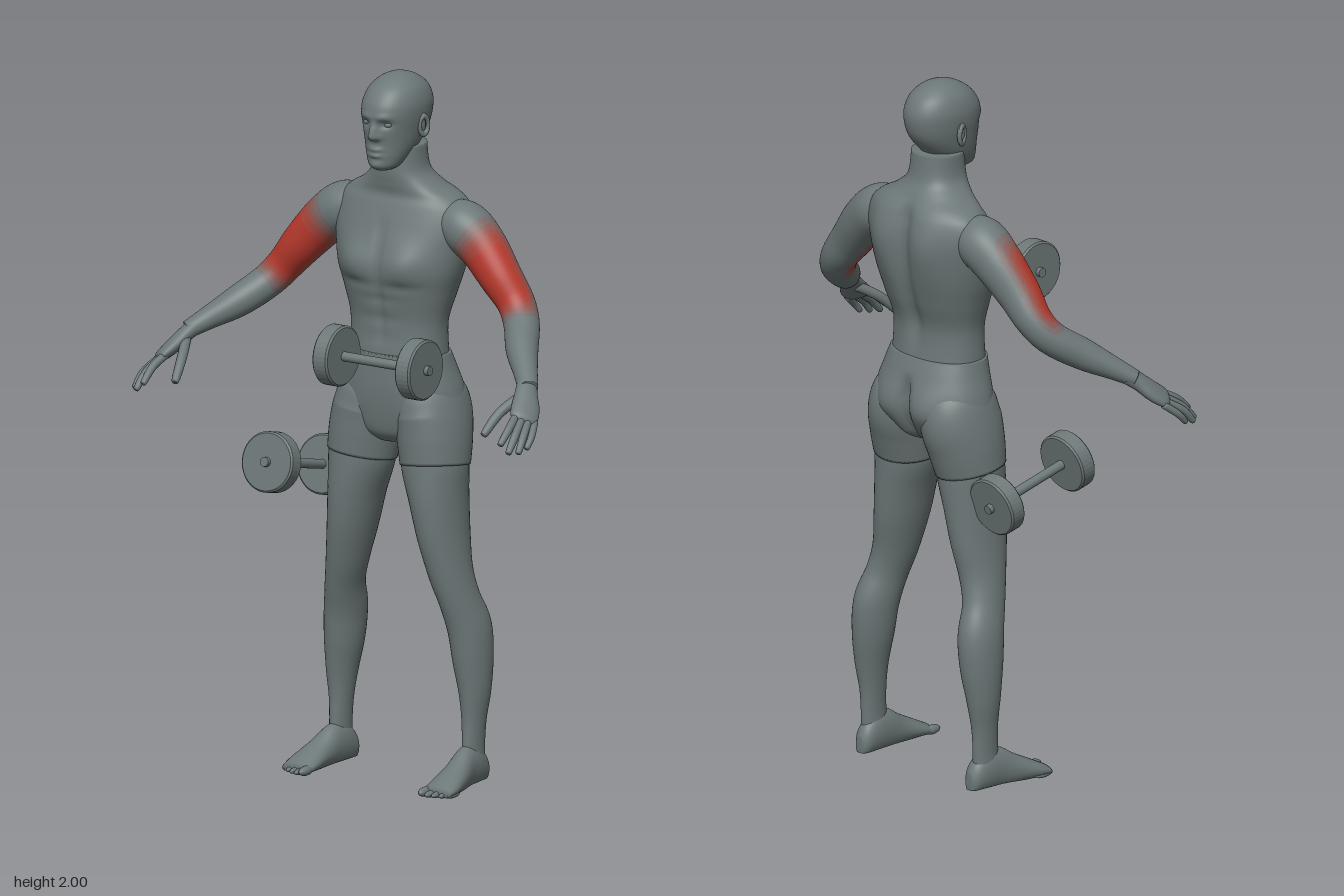
import * as THREE from 'three';

const mat = (name, color) => {
  const m = new THREE.MeshStandardMaterial({ color });
  m.name = name;
  return m;
};
const bell = (v, c, w) => Math.exp(-(((v - c) / w) ** 2));
const step = THREE.MathUtils.smoothstep;
const V3 = (x, y, z) => new THREE.Vector3(x, y, z);

// Smoothly interpolated row of a cross-section table
function rowAt(rows, t) {
  const f = Math.min(Math.max(t, 0), 1) * (rows.length - 1);
  const i = Math.min(Math.floor(f), rows.length - 2), k = f - i;
  const at = (j) => rows[Math.min(Math.max(j, 0), rows.length - 1)];
  return rows[0].map((_, c) => {
    const p0 = at(i - 1)[c], p1 = at(i)[c], p2 = at(i + 1)[c], p3 = at(i + 2)[c];
    const a = (p2 - p0) / 2, b = (p3 - p1) / 2;
    return (2 * p1 - 2 * p2 + a + b) * k ** 3 + (-3 * p1 + 3 * p2 - 2 * a - b) * k * k + a * k + p1;
  });
}

// Closed skin over rings point(t, angle); pick(t, angle) gives a material index
function skin(n, seg, point, pick = () => 0) {
  const pos = [], bins = [];
  const put = (t, a, ...tri) => {
    const b = pick(t, a);
    (bins[b] = bins[b] || []).push(...tri);
  };
  for (let i = 0; i <= n; i++)
    for (let j = 0; j < seg; j++) pos.push(...point(i / n, (j / seg) * Math.PI * 2).toArray());
  for (const i of [0, n]) {
    const c = V3(0, 0, 0);
    for (let j = 0; j < seg; j++) c.add(V3().fromArray(pos, (i * seg + j) * 3));
    pos.push(...c.divideScalar(seg).toArray());
  }
  const low = (n + 1) * seg;
  for (let j = 0; j < seg; j++) {
    const k = (j + 1) % seg, ang = ((j + 0.5) / seg) * Math.PI * 2;
    for (let i = 0; i < n; i++) {
      const a = i * seg + j, b = a + seg, c = i * seg + k, d = c + seg;
      put((i + 0.5) / n, ang, a, b, c, b, d, c);
    }
    put(0, ang, low, j, k);
    put(1, ang, low + 1, n * seg + k, n * seg + j);
  }
  const g = new THREE.BufferGeometry();
  g.setAttribute('position', new THREE.Float32BufferAttribute(pos, 3));
  const index = [];
  bins.forEach((b, m) => {
    g.addGroup(index.length, b.length, m);
    for (const v of b) index.push(v);
  });
  g.setIndex(index);
  g.computeVertexNormals();
  return g;
}

// Horizontal rings from rows [y, half width, front z, back z], with a relief rule
const stack = (rows, n, seg, power, relief = () => 0) => skin(n, seg, (t, a) => {
  const [y, w, zf, zb] = rowAt(rows, t);
  const c = Math.cos(a), s = Math.sin(a), e = 2 / power;
  const x = w * Math.sign(c) * Math.abs(c) ** e;
  const z = (zf + zb) / 2 + ((zf - zb) / 2) * Math.sign(s) * Math.abs(s) ** e;
  return V3(x, y, z + relief(x, y, s));
});

// Rings square to a path, rows [x, y, z, radius along ref, other radius]
function ringAt(rows, t, a, ref) {
  const r = rowAt(rows, t), p = rowAt(rows, t - 0.02), q = rowAt(rows, t + 0.02);
  const T = V3(q[0] - p[0], q[1] - p[1], q[2] - p[2]).normalize();
  const U = ref.clone().addScaledVector(T, -ref.dot(T)).normalize();
  const W = U.clone().cross(T);
  const out = U.multiplyScalar(Math.cos(a) * r[3]).addScaledVector(W, Math.sin(a) * r[4]);
  return { centre: V3(r[0], r[1], r[2]), out };
}
const limb = (rows, n, seg, ref, pick) => skin(n, seg, (t, a) => {
  const { centre, out } = ringAt(rows, t, a, ref);
  return centre.add(out);
}, pick);

function mirrored(geo) {
  const g = geo.clone().scale(-1, 1, 1), ix = g.index.array;
  for (let i = 0; i < ix.length; i += 3) [ix[i], ix[i + 1]] = [ix[i + 1], ix[i]];
  g.computeVertexNormals();
  return g;
}

export function createModel() {
  const model = new THREE.Group();
  const grey = mat('bodyGrey', 0x6c7777);
  const tones = [grey, mat('faintRed', 0x7a6a68), mat('paleRed', 0x8a5c57),
    mat('midRed', 0x994f47), mat('warmRed', 0xa84339), mat('muscleRed', 0xb5382c)];
  const add = (name, geo, m = grey) => {
    const mesh = new THREE.Mesh(geo, m);
    mesh.name = name;
    model.add(mesh);
    return mesh;
  };
  const pair = (name, geo, m) => {
    add('left' + name, geo, m);
    add('right' + name, mirrored(geo), m);
  };
  const X = V3(1, 0, 0);

  // Torso and neck with chest, stomach, shoulder blades and spine groove
  add('torso', stack([
    [1.205, 0.148, -0.095, -0.293], [1.3, 0.147, -0.1, -0.288], [1.38, 0.168, -0.088, -0.312],
    [1.45, 0.19, -0.078, -0.33], [1.52, 0.205, -0.09, -0.338], [1.58, 0.212, -0.108, -0.338],
    [1.63, 0.2, -0.125, -0.33], [1.66, 0.17, -0.135, -0.318], [1.69, 0.118, -0.13, -0.297],
    [1.73, 0.08, -0.125, -0.277], [1.8, 0.072, -0.13, -0.268],
  ], 70, 96, 2.2, (x, y, s) => {
    const ax = Math.abs(x);
    if (s > 0) {
      const chest = 0.02 * bell(ax, 0.085, 0.06) * bell(y, 1.475, 0.055);
      const mid = -0.008 * bell(x, 0, 0.012) * step(y, 1.22, 1.3) * (1 - step(y, 1.55, 1.62));
      const crease = -0.006 * bell(ax, 0.08, 0.06) * bell(y, 1.412, 0.012);
      const abs = [1.26, 1.315, 1.37].reduce((d, r) => d - 0.004 * bell(y, r, 0.009), 0) * bell(x, 0, 0.06);
      return s * (chest + mid + crease + abs);
    }
    const blade = 0.02 * bell(ax, 0.09, 0.055) * bell(y, 1.56, 0.1);
    const spine = 0.018 * bell(x, 0, 0.028) * step(y, 1.2, 1.35) * (1 - step(y, 1.62, 1.7));
    return s * (blade - spine);
  }));

  // Shorts: hips with a cleft at the back, and two short legs
  add('shortsHips', stack([
    [0.96, 0.05, -0.13, -0.25], [0.99, 0.13, -0.105, -0.295], [1.05, 0.19, -0.092, -0.325],
    [1.11, 0.185, -0.087, -0.33], [1.17, 0.166, -0.088, -0.315], [1.215, 0.153, -0.09, -0.298],
  ], 36, 80, 2.2, (x, y, s) => s < 0
    ? s * (0.018 * bell(Math.abs(x), 0.08, 0.055) * bell(y, 1.07, 0.06)
      - 0.035 * bell(x, 0, 0.016) * (1 - step(y, 1.1, 1.18)))
    : 0));
  pair('ShortsLeg', limb([
    [0.122, 0.9, -0.19, 0.096, 0.103], [0.114, 0.97, -0.2, 0.1, 0.115],
    [0.103, 1.04, -0.21, 0.098, 0.124], [0.09, 1.1, -0.205, 0.09, 0.11], [0.08, 1.15, -0.2, 0.06, 0.08],
  ], 24, 48, X));

  // Legs from ankle to thigh
  pair('Leg', limb([
    [0.222, 0.03, -0.23, 0.03, 0.042], [0.222, 0.1, -0.23, 0.026, 0.042], [0.222, 0.18, -0.233, 0.031, 0.042],
    [0.222, 0.26, -0.237, 0.042, 0.052], [0.215, 0.35, -0.238, 0.053, 0.065], [0.207, 0.44, -0.233, 0.056, 0.071],
    [0.192, 0.52, -0.208, 0.052, 0.066], [0.172, 0.6, -0.193, 0.056, 0.073], [0.152, 0.7, -0.189, 0.064, 0.09],
    [0.137, 0.8, -0.188, 0.075, 0.098], [0.123, 0.89, -0.19, 0.091, 0.099], [0.118, 0.95, -0.19, 0.09, 0.095],
  ], 60, 40, X));

  // Feet, flat underneath, with five toes each
  const footRows = [
    [-0.288, 0.218, 0.014, 0.05], [-0.272, 0.218, 0.028, 0.08], [-0.235, 0.22, 0.034, 0.11],
    [-0.185, 0.223, 0.036, 0.11], [-0.13, 0.23, 0.042, 0.078], [-0.07, 0.235, 0.049, 0.048],
    [-0.03, 0.235, 0.046, 0.028],
  ];
  pair('Foot', skin(28, 32, (t, a) => {
    const [z, cx, w, h] = rowAt(footRows, t), s = Math.sin(a);
    return V3(cx + w * Math.cos(a), Math.max(0.004, h * (0.45 - 0.55 * s)), z);
  }));
  for (let i = 0; i < 5; i++) {
    const r = i ? 0.0105 - i * 0.0005 : 0.014;
    const toe = new THREE.SphereGeometry(1, 14, 10).scale(r, r * 0.95, 0.03);
    pair('Toe' + (i + 1), toe.translate(0.2 + i * 0.0185, r, -0.029 - i * i * 0.0018));
  }

  // Arms, reddened over the front of the upper arm
  const armRows = [
    [0.13, 1.59, -0.215, 0.055, 0.055], [0.195, 1.58, -0.22, 0.073, 0.074], [0.26, 1.535, -0.217, 0.069, 0.068],
    [0.33, 1.46, -0.205, 0.06, 0.06], [0.385, 1.395, -0.2, 0.051, 0.053], [0.425, 1.345, -0.17, 0.047, 0.05],
    [0.475, 1.295, -0.1, 0.044, 0.045], [0.53, 1.253, -0.037, 0.032, 0.034], [0.57, 1.222, 0.008, 0.024, 0.028],
  ];
  const armRef = V3(0, 1, 0.2);
  pair('Arm', limb(armRows, 96, 60, armRef, (t, a) => {
    const { centre, out } = ringAt(armRows, t, a, armRef);
    const n = out.normalize(), x = centre.x;
    const along = step(x, 0.21, 0.3) * (1 - step(x, 0.38, 0.44));
    return Math.round(5 * along * step(n.z + 0.25 * n.y, -0.75, 0.5));
  }), tones);

  // Hands: palm, four fingers and a thumb
  pair('Palm', limb([
    [0.555, 1.233, -0.01, 0.028, 0.024], [0.572, 1.21, 0.02, 0.032, 0.022], [0.592, 1.18, 0.052, 0.04, 0.021],
    [0.607, 1.158, 0.082, 0.039, 0.016], [0.612, 1.15, 0.093, 0.026, 0.008],
  ], 20, 28, V3(0.045, -0.025, -0.025)));
  const digit = (name, a, b, c, r) => {
    const p = [[...a, r, r], [...b, r, r], [...c, r * 0.8, r * 0.8]];
    const tip = c.map((v, i) => v + (v - b[i]) * 0.12);
    pair(name, limb([...p, [...tip, r * 0.25, r * 0.25]], 14, 14, X));
  };
  digit('IndexFinger', [0.585, 1.17, 0.08], [0.597, 1.142, 0.135], [0.598, 1.105, 0.18], 0.0115);
  digit('MiddleFinger', [0.602, 1.16, 0.082], [0.618, 1.122, 0.14], [0.623, 1.084, 0.178], 0.0115);
  digit('RingFinger', [0.616, 1.152, 0.074], [0.636, 1.117, 0.128], [0.642, 1.082, 0.158], 0.011);
  digit('LittleFinger', [0.628, 1.147, 0.06], [0.645, 1.115, 0.1], [0.647, 1.088, 0.125], 0.01);
  digit('Thumb', [0.562, 1.205, 0.025], [0.533, 1.165, 0.09], [0.518, 1.115, 0.142], 0.014);

  // Head with brow, eye sockets, nose, lips and chin
  add('head', stack([
    [1.738, 0.024, -0.09, -0.15], [1.75, 0.042, -0.077, -0.18], [1.775, 0.056, -0.074, -0.215],
    [1.81, 0.069, -0.074, -0.255], [1.85, 0.078, -0.069, -0.287], [1.89, 0.084, -0.064, -0.3],
    [1.925, 0.084, -0.07, -0.299], [1.96, 0.072, -0.094, -0.281], [1.985, 0.048, -0.13, -0.248],
    [1.997, 0.022, -0.165, -0.215], [2.0, 0.004, -0.186, -0.194],
  ], 90, 96, 2.15, (x, y, s) => {
    if (s <= 0) return 0;
    const ax = Math.abs(x);
    const nose = 0.024 * bell(x, 0, 0.011 + 0.005 * bell(y, 1.835, 0.012)) * step(y, 1.82, 1.836) * (1 - step(y, 1.838, 1.89));
    const socket = -0.012 * bell(ax, 0.033, 0.018) * bell(y, 1.873, 0.012);
    const brow = 0.005 * bell(ax, 0.03, 0.03) * bell(y, 1.893, 0.01);
    const lips = bell(x, 0, 0.022) * (0.008 * bell(y, 1.8, 0.007) + 0.008 * bell(y, 1.783, 0.007));
    const chin = 0.006 * bell(x, 0, 0.02) * bell(y, 1.755, 0.012);
    return s * (nose + socket + brow + lips + chin);
  }));
  pair('Eye', new THREE.SphereGeometry(0.011, 16, 12).scale(1.2, 0.7, 0.8).translate(0.033, 1.872, -0.088));
  const ear = new THREE.TorusGeometry(0.017, 0.006, 10, 24).scale(0.85, 1.5, 1.2)
    .rotateY(Math.PI / 2 - 0.35).translate(0.085, 1.858, -0.188);
  pair('Ear', ear);
  pair('EarInner', new THREE.SphereGeometry(1, 14, 10).scale(0.006, 0.025, 0.015).translate(0.08, 1.857, -0.187));

  // Dumbbells, each a bar with a rounded weight at both ends
  const weight = new THREE.LatheGeometry([[0, -0.025], [0.08, -0.025], [0.085, -0.02], [0.085, 0.02], [0.08, 0.025], [0, 0.025]]
    .map(([r, y]) => new THREE.Vector2(r, y)), 40).toNonIndexed();
  weight.computeVertexNormals();
  const dumbbell = (name, a, b) => {
    const g = new THREE.Group();
    g.name = name;
    const bar = new THREE.Mesh(new THREE.CylinderGeometry(0.0135, 0.0135, 0.352, 20), grey);
    bar.name = 'bar';
    g.add(bar);
    for (const s of [-1, 1]) {
      const w = new THREE.Mesh(weight, grey);
      w.name = 'weight';
      w.position.y = s * 0.138;
      g.add(w);
    }
    g.position.copy(a).add(b).multiplyScalar(0.5);
    g.quaternion.setFromUnitVectors(V3(0, 1, 0), b.clone().sub(a).normalize());
    model.add(g);
  };
  dumbbell('frontDumbbell', V3(0.11, 1.305, 0.272), V3(0.388, 1.305, 0.272));
  dumbbell('sideDumbbell', V3(-0.265, 0.835, -0.225), V3(-0.265, 0.897, 0.042));

  return model;
}
